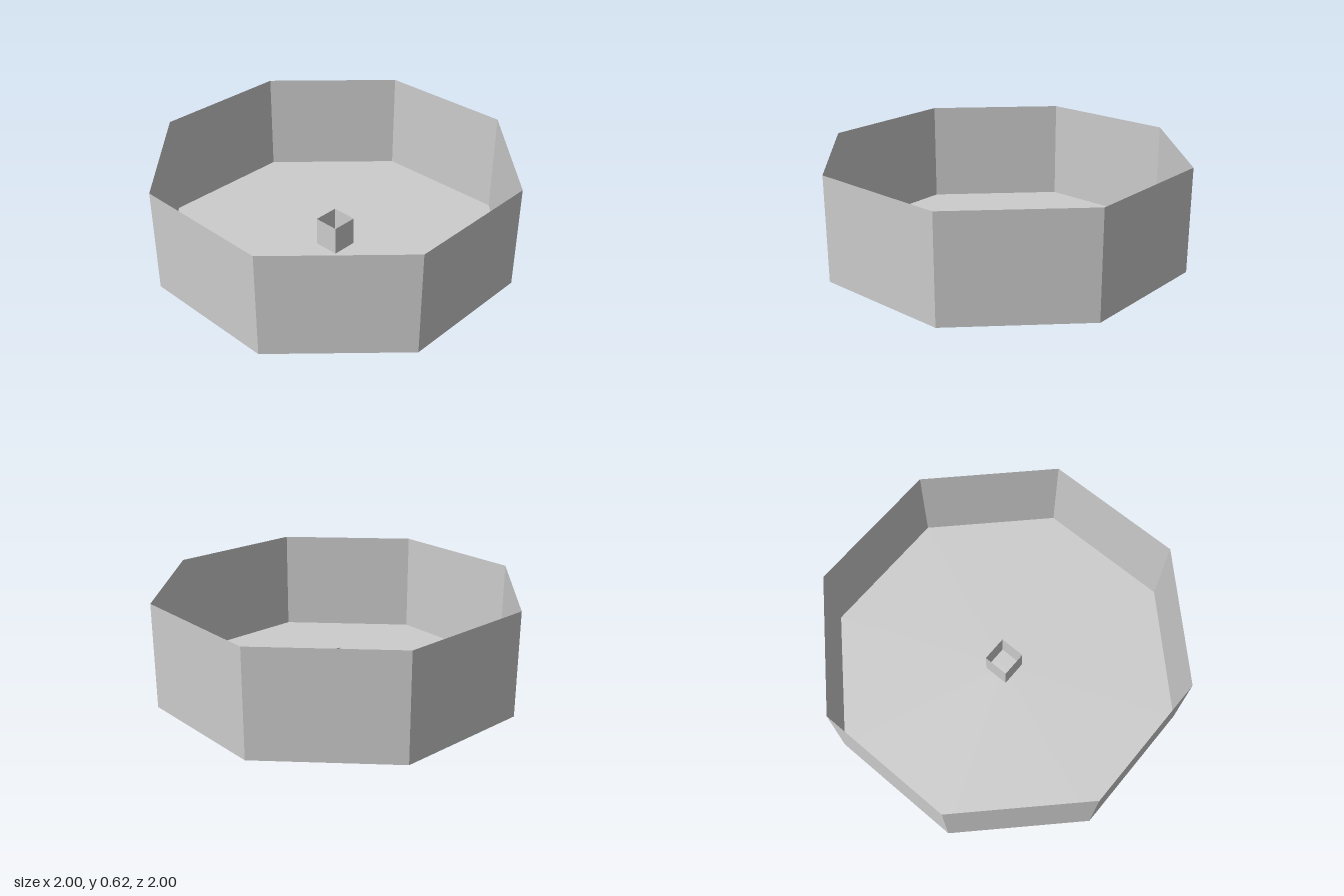
import * as THREE from 'three';

const HEIGHT = 0.62;

export function createModel() {
  const model = new THREE.Group();
  model.name = 'octagonalTray';
  const grey = new THREE.MeshStandardMaterial({
    color: 0xcccccc, flatShading: true, side: THREE.DoubleSide,
  });
  grey.name = 'light grey';

  const add = (name, geometry, y) => {
    const mesh = new THREE.Mesh(geometry, grey);
    mesh.name = name;
    mesh.position.y = y;
    model.add(mesh);
  };

  // Thin upright ring of flat panels, with panels facing the axes
  const ring = (sides, apothem, height) => new THREE.CylinderGeometry(
    apothem / Math.cos(Math.PI / sides), apothem / Math.cos(Math.PI / sides),
    height, sides, 1, true, Math.PI / sides);

  // Outer wall, open at the top
  add('outerWall', ring(8, 1, HEIGHT), HEIGHT / 2);

  // Flat octagonal floor
  const floor = new THREE.CircleGeometry(1 / Math.cos(Math.PI / 8), 8, Math.PI / 8);
  floor.rotateX(-Math.PI / 2);
  add('floor', floor, 0);

  // Small square open tube in the middle of the floor
  add('centreTube', ring(4, 0.078, 0.177), 0.0885);

  return model;
}
